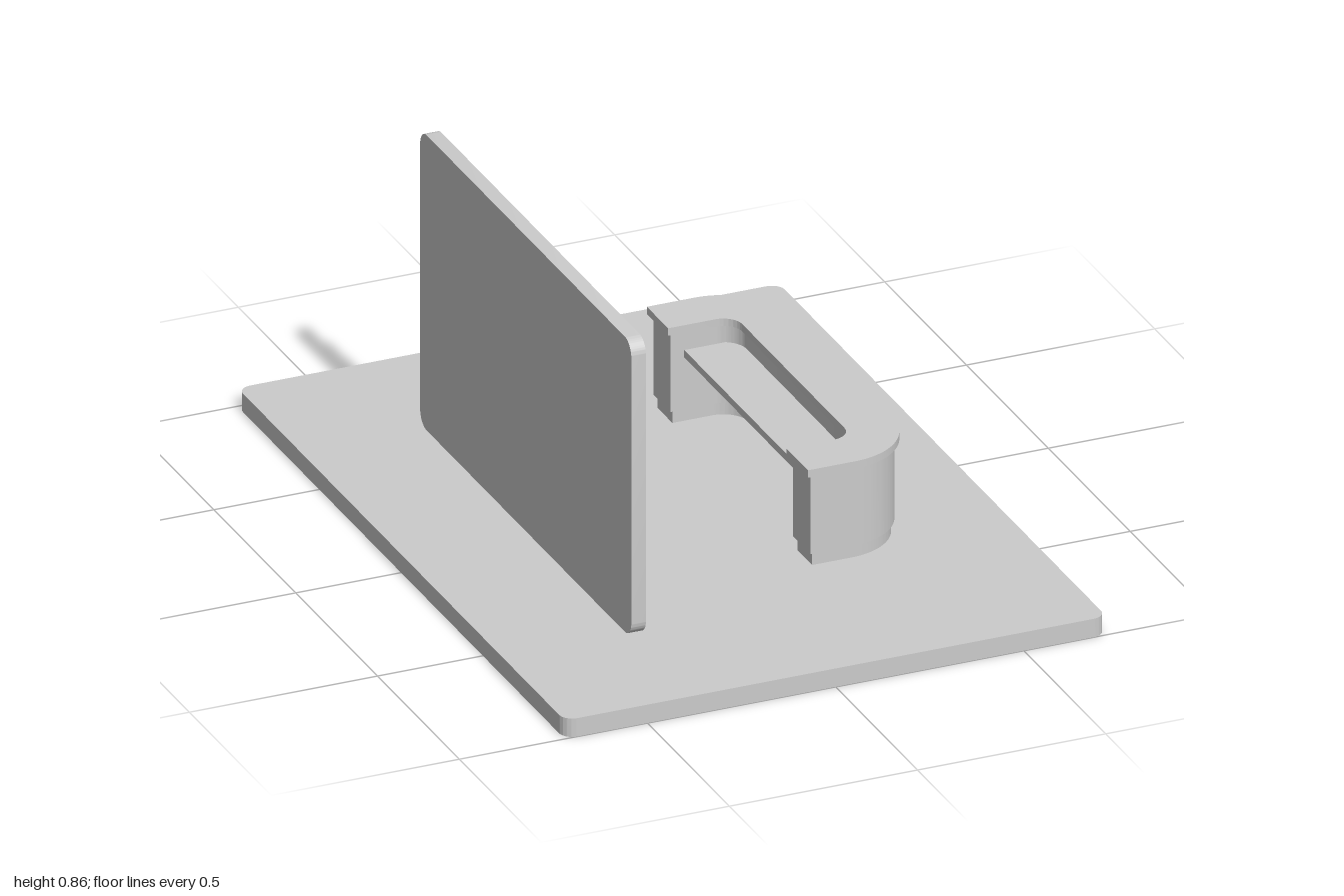
import * as THREE from 'three';
import { toCreasedNormals } from 'three/addons/utils/BufferGeometryUtils.js';

const material = new THREE.MeshStandardMaterial({ color: 0xcccccc });

function roundedRect(x0, y0, x1, y1, r) {
  const s = new THREE.Shape();
  s.moveTo(x0 + r, y0);
  s.lineTo(x1 - r, y0);
  s.absarc(x1 - r, y0 + r, r, -Math.PI / 2, 0, false);
  s.lineTo(x1, y1 - r);
  s.absarc(x1 - r, y1 - r, r, 0, Math.PI / 2, false);
  s.lineTo(x0 + r, y1);
  s.absarc(x0 + r, y1 - r, r, Math.PI / 2, Math.PI, false);
  s.lineTo(x0, y0 + r);
  s.absarc(x0 + r, y0 + r, r, Math.PI, Math.PI * 1.5, false);
  return s;
}

function rect(x0, y0, x1, y1) {
  return new THREE.Shape([[x0, y0], [x1, y0], [x1, y1], [x0, y1]].map(p => new THREE.Vector2(...p)));
}

function extrude(shape, depth) {
  const g = new THREE.ExtrudeGeometry(shape, { depth, bevelEnabled: false, curveSegments: 16 });
  return toCreasedNormals(g, 0.6);
}

// Horizontal slab: shape is drawn in x and z
function slab(name, shape, y0, y1) {
  const g = extrude(shape, y1 - y0).rotateX(Math.PI / 2).translate(0, y1, 0);
  const m = new THREE.Mesh(g, material);
  m.name = name;
  return m;
}

// Upright panel: shape is drawn in z and y
function panel(name, shape, x0, x1) {
  const g = extrude(shape, x1 - x0).rotateY(-Math.PI / 2).translate(x1, 0, 0);
  const m = new THREE.Mesh(g, material);
  m.name = name;
  return m;
}

// U-shaped counter outline, open towards -x, shrunk by an inset on every side
function counterShape(inset) {
  const end = 0.155 + inset, cx = 0.28, cz = 0.312, mid = -0.018;
  const R = 0.18 - inset, r = 0.05 + inset;
  const s = new THREE.Shape();
  s.moveTo(end, mid - cz - R);
  s.lineTo(cx, mid - cz - R);
  s.absarc(cx, mid - cz, R, -Math.PI / 2, 0, false);
  s.lineTo(cx + R, mid + cz);
  s.absarc(cx, mid + cz, R, 0, Math.PI / 2, false);
  s.lineTo(end, mid + cz + R);
  s.lineTo(end, mid + cz + r);
  s.lineTo(cx, mid + cz + r);
  s.absarc(cx, mid + cz, r, Math.PI / 2, 0, true);
  s.lineTo(cx + r, mid - cz);
  s.absarc(cx, mid - cz, r, 0, -Math.PI / 2, true);
  s.lineTo(end, mid - cz - r);
  s.closePath();
  return s;
}

export function createModel() {
  const model = new THREE.Group();

  // Floor platform
  model.add(slab('floor', roundedRect(-0.72, -1, 0.72, 1, 0.035), 0, 0.05));

  // Back wall with a framed display
  const wall = new THREE.Group();
  wall.name = 'backWall';
  wall.add(panel('wallPanel', roundedRect(-0.635, 0.053, 0.655, 0.855, 0.04), -0.393, -0.354));
  const rim = rect(-0.54, 0.222, 0.535, 0.825);
  rim.holes.push(rect(-0.526, 0.236, 0.521, 0.811));
  wall.add(panel('displayFrame', rim, -0.354, -0.34));
  wall.add(panel('displayScreen', rect(-0.526, 0.236, 0.521, 0.811), -0.354, -0.349));
  model.add(wall);

  // Reception counter: recessed plinth, body, overhanging top and inner shelf
  const counter = new THREE.Group();
  counter.name = 'counter';
  counter.add(slab('counterPlinth', counterShape(0.02), 0.05, 0.085));
  counter.add(slab('counterBody', counterShape(0.012), 0.085, 0.3));
  counter.add(slab('counterTop', counterShape(0), 0.3, 0.32));
  counter.add(slab('innerShelf', rect(0.2, -0.385, 0.345, 0.35), 0.23, 0.25));
  model.add(counter);

  return model;
}
